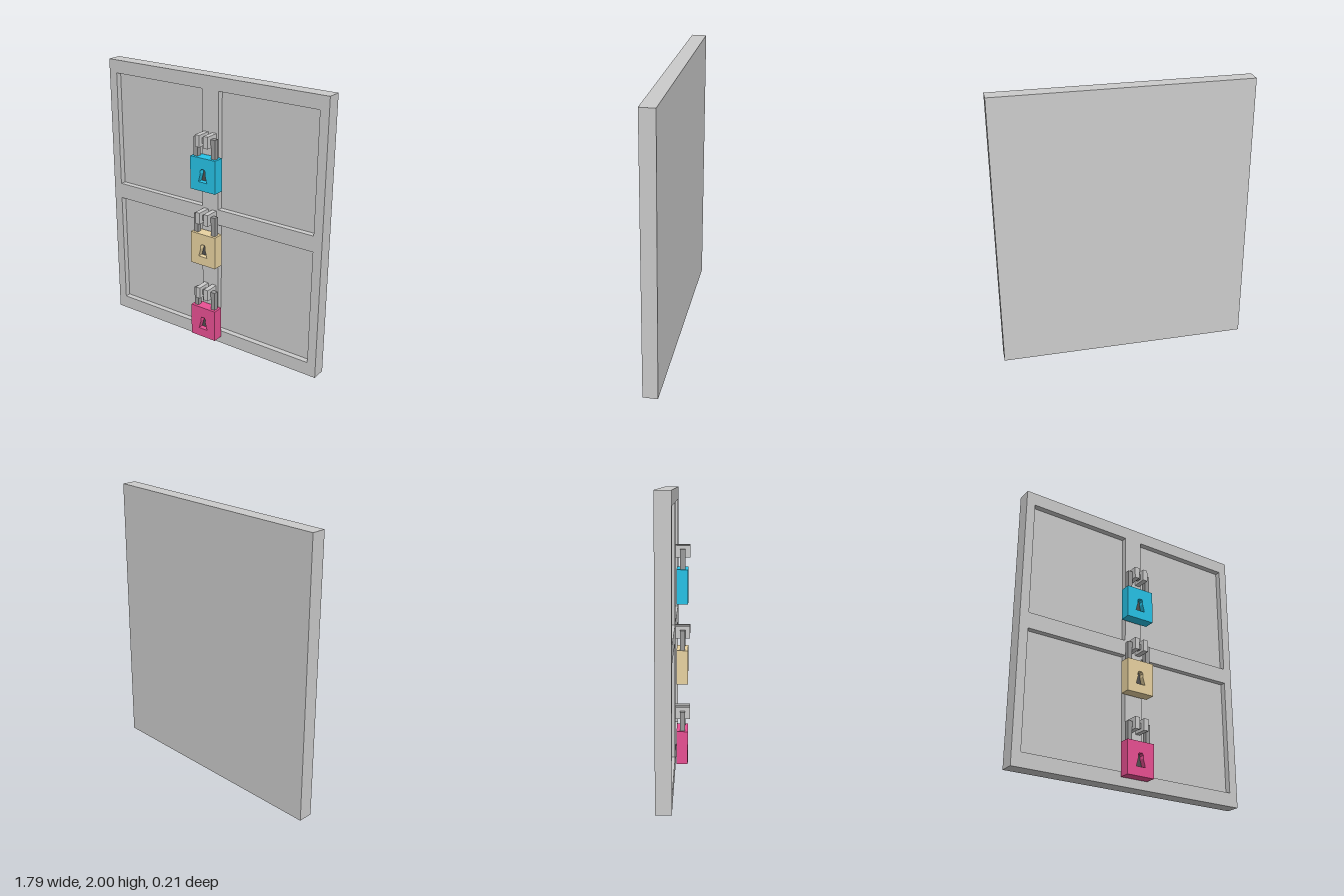
import * as THREE from 'three';

const mat = (color) => new THREE.MeshStandardMaterial({ color, flatShading: true });
const grey = mat(0xcccccc);
const steel = mat(0x9c9c9c);
const dark = mat(0x505050);

function add(parent, name, geometry, material, x = 0, y = 0, z = 0) {
  const mesh = new THREE.Mesh(geometry, material);
  mesh.name = name;
  mesh.position.set(x, y, z);
  parent.add(mesh);
  return mesh;
}

// Box given by its lower and upper limits on each axis
function box(parent, name, material, x0, x1, y0, y1, z0, z1) {
  return add(parent, name, new THREE.BoxGeometry(x1 - x0, y1 - y0, z1 - z0), material,
    (x0 + x1) / 2, (y0 + y1) / 2, (z0 + z1) / 2);
}

const outline = (points) => points.map(([x, y]) => new THREE.Vector2(x, y));
const rect = (x0, x1, y0, y1) => outline([[x0, y0], [x1, y0], [x1, y1], [x0, y1]]);

// Flat plate with cut-outs
function plate(border, holes, depth) {
  const shape = new THREE.Shape(border);
  holes.forEach((h) => shape.holes.push(new THREE.Path(h)));
  return new THREE.ExtrudeGeometry(shape, { depth, bevelEnabled: false });
}

// Door: back slab plus a frame leaving four sunken panels
function createDoor() {
  const door = new THREE.Group();
  door.name = 'door';
  const recess = 0.042;
  const holes = [];
  for (const [y0, y1] of [[0.1, 0.945], [1.06, 1.905]]) {
    holes.push(rect(-0.83, -0.068, y0, y1), rect(0.068, 0.83, y0, y1));
  }
  box(door, 'doorSlab', grey, -0.895, 0.895, 0, 2, -0.105, -recess);
  add(door, 'doorFrame', plate(rect(-0.895, 0.895, 0, 2), holes, recess), grey, 0, 0, -recess);
  return door;
}

// Padlock with its shackle and staples; y = 0 is the bottom of the body
function createPadlock(color) {
  const lock = new THREE.Group();
  lock.name = 'padlock';
  const body = mat(color);
  const keyhole = outline([
    [-0.036, 0.065], [0.036, 0.065], [0.019, 0.125], [0.021, 0.147],
    [0.012, 0.16], [-0.012, 0.16], [-0.021, 0.147], [-0.019, 0.125],
  ]);

  // Body with a sunken keyhole
  box(lock, 'bodyBack', body, -0.105, 0.105, 0, 0.24, 0.01, 0.05);
  add(lock, 'bodyFront', plate(rect(-0.105, 0.105, 0, 0.24), [keyhole], 0.04), body, 0, 0, 0.05);
  add(lock, 'keyhole', new THREE.ShapeGeometry(new THREE.Shape(keyhole)), dark, 0, 0, 0.052);

  // Square shackle
  const shackle = outline([
    [-0.09, 0.22], [-0.056, 0.22], [-0.056, 0.338], [0.056, 0.338],
    [0.056, 0.22], [0.09, 0.22], [0.09, 0.378], [-0.09, 0.378],
  ]);
  add(lock, 'shackle', plate(shackle, [], 0.036), steel, 0, 0, 0.034);

  // Pair of staples fixed to the door
  for (const x of [-0.035, 0.035]) {
    box(lock, 'staple', grey, x - 0.018, x + 0.018, 0.318, 0.403, -0.005, 0.104);
  }
  return lock;
}

export function createModel() {
  const model = new THREE.Group();
  model.name = 'lockedDoor';
  model.add(createDoor());
  for (const [y, color] of [[1.21, 0x27c3e8], [0.645, 0xe9d3a1], [0.06, 0xe95093]]) {
    const lock = createPadlock(color);
    lock.position.y = y;
    model.add(lock);
  }
  return model;
}
